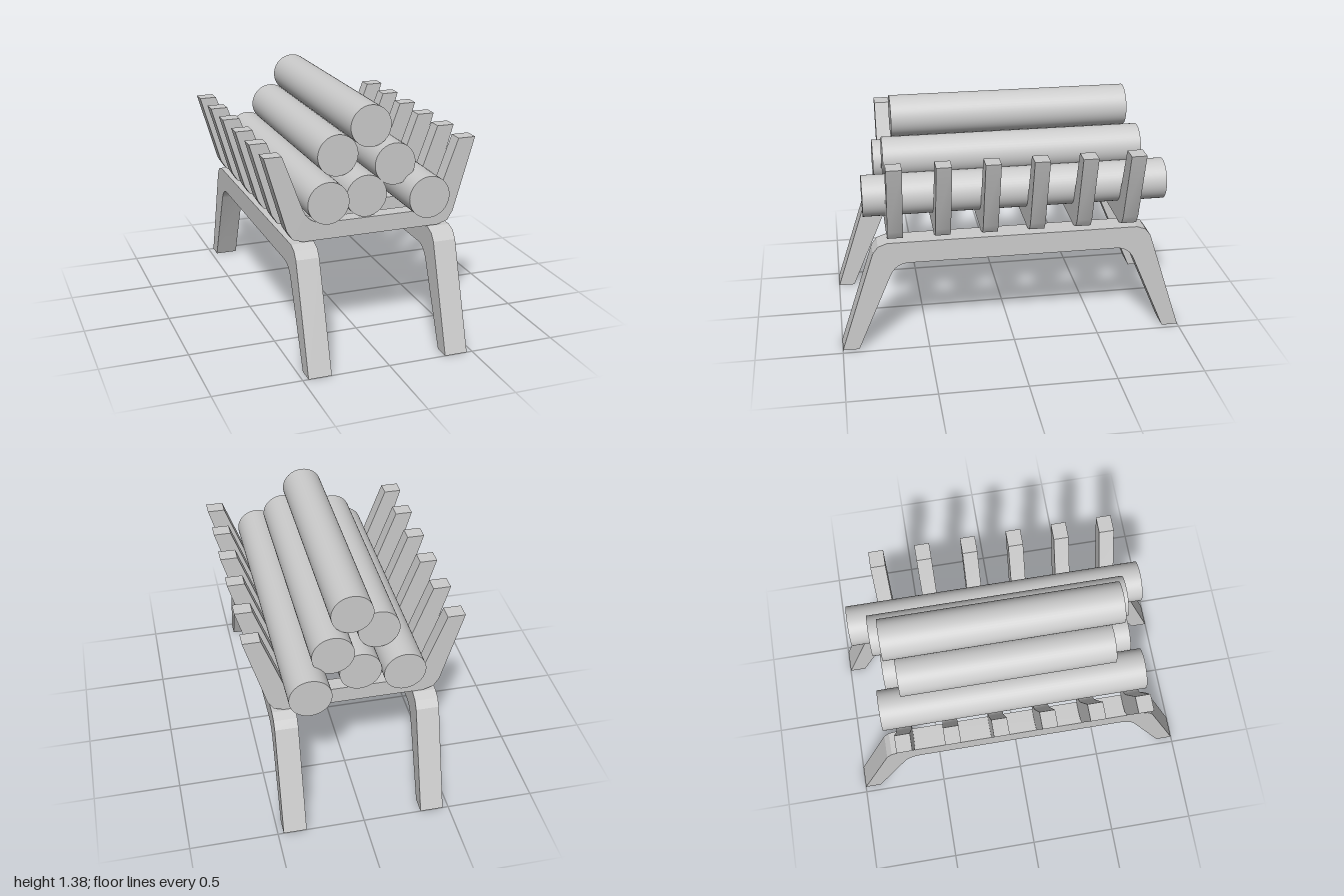
import * as THREE from 'three';
import { toCreasedNormals } from 'three/addons/utils/BufferGeometryUtils.js';

const material = new THREE.MeshStandardMaterial({ color: 0xcccccc });

// Mirror-symmetric bent bar: outer is a half outline from tip to flat (chamfered bend),
// inner is [tip, bend start, bend control, bend end] with a rounded bend.
function bentBar(outer, inner, thickness) {
  const [tip, a, c, b] = inner.map(([x, y]) => new THREE.Vector2(x, y));
  const bend = new THREE.QuadraticBezierCurve(a, c, b).getPoints(6);
  const half = [...outer.map(([x, y]) => new THREE.Vector2(x, y)).reverse(), tip, ...bend];
  const mirrored = half.map((p) => new THREE.Vector2(-p.x, p.y)).reverse();
  const geometry = new THREE.ExtrudeGeometry(new THREE.Shape([...half, ...mirrored]), {
    depth: thickness, bevelEnabled: false,
  });
  geometry.translate(0, 0, -thickness / 2);
  return toCreasedNormals(geometry, 0.32);
}

function addMesh(parent, name, geometry, x, y, z) {
  const mesh = new THREE.Mesh(geometry, material);
  mesh.name = name;
  mesh.position.set(x, y, z);
  parent.add(mesh);
}

export function createModel() {
  const model = new THREE.Group();
  model.name = 'firewoodGrate';

  // Two leg frames running front to back
  const legs = new THREE.Group();
  legs.name = 'legFrames';
  const legGeometry = bentBar(
    [[1, 0], [0.803, 0.606], [0.772, 0.648], [0.72, 0.667]],
    [[0.905, 0], [0.707, 0.465], [0.675, 0.538], [0.6, 0.538]],
    0.132,
  ).rotateY(-Math.PI / 2);
  addMesh(legs, 'leftLegFrame', legGeometry, 0.401, 0, 0);
  addMesh(legs, 'rightLegFrame', legGeometry, -0.401, 0, 0);
  model.add(legs);

  // Six upturned cradle bars
  const bars = new THREE.Group();
  bars.name = 'cradleBars';
  const barGeometry = bentBar(
    [[0.61, 1.162], [0.488, 0.742], [0.456, 0.691], [0.398, 0.672]],
    [[0.51, 1.162], [0.395, 0.851], [0.364, 0.768], [0.267, 0.768]],
    0.087,
  );
  // The bar opens upward, so its outline winds correctly either way for extrusion
  for (let i = 0; i < 6; i++) addMesh(bars, 'cradleBar', barGeometry, 0, 0, -0.672 + i * 0.269);
  model.add(bars);

  // Stacked logs: x, y, back z, front z
  const logs = new THREE.Group();
  logs.name = 'logs';
  const radius = 0.118;
  for (const [x, y, back, front] of [
    [-0.264, 0.887, -0.79, 0.755],
    [-0.027, 0.887, -0.74, 0.707],
    [0.285, 0.887, -0.903, 0.843],
    [-0.147, 1.092, -0.655, 0.583],
    [0.136, 1.054, -0.78, 0.713],
    [0.018, 1.261, -0.715, 0.652],
  ]) {
    const geometry = new THREE.CylinderGeometry(radius, radius, front - back, 48).rotateX(Math.PI / 2);
    addMesh(logs, 'log', geometry, x, y, (front + back) / 2);
  }
  model.add(logs);

  return model;
}
